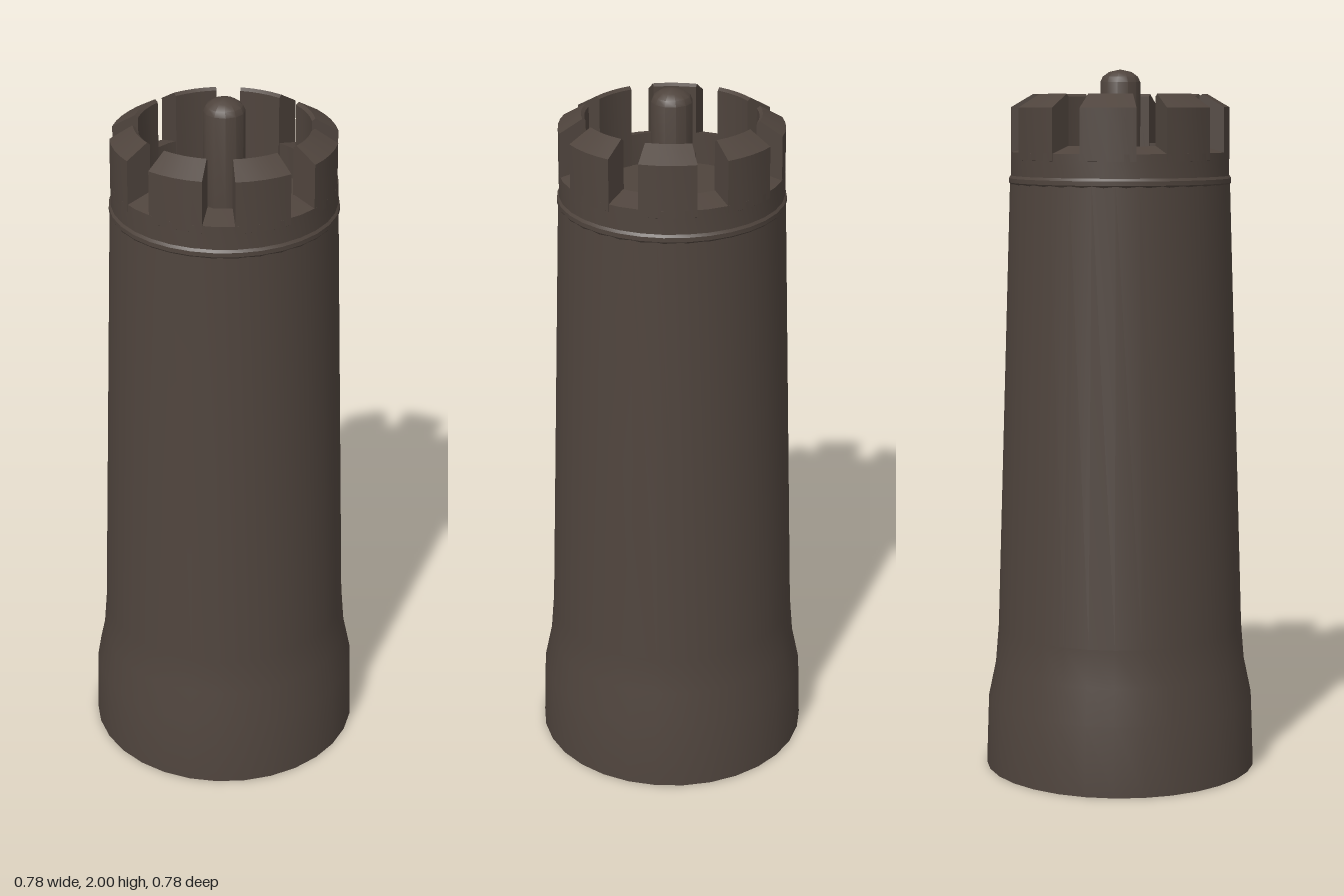
import * as THREE from 'three';
import { toCreasedNormals } from 'three/addons/utils/BufferGeometryUtils.js';

const DEG = Math.PI / 180;
const stone = new THREE.MeshStandardMaterial({ color: 0x4f443d, side: THREE.DoubleSide });
stone.name = 'dark stone';

const profile = (pts) => pts.map(([r, y]) => new THREE.Vector2(r, y));

function mesh(name, geometry) {
  const m = new THREE.Mesh(geometry, stone);
  m.name = name;
  return m;
}

// Turned part with smooth sides and sharp corners
function turned(name, pts, segments, start = 0, length = Math.PI * 2) {
  const g = new THREE.LatheGeometry(profile(pts), segments, start, length);
  return mesh(name, toCreasedNormals(g, 32 * DEG));
}

// Block of the parapet: a partial ring closed by a flat face at each end
function ringBlock(name, pts, centre, width) {
  const block = new THREE.Group();
  block.name = name;
  const start = centre - width / 2;
  block.add(turned(name + 'Body', [...pts, pts[0]], 4, start, width));
  for (const angle of [start, start + width]) {
    const end = new THREE.ShapeGeometry(new THREE.Shape(profile(pts)));
    end.rotateY(angle - Math.PI / 2);
    block.add(mesh(name + 'Side', end));
  }
  return block;
}

export function createModel() {
  const tower = new THREE.Group();
  tower.name = 'tower';

  // Hollow tapering shaft on a flared foot
  tower.add(turned('shaft', [
    [0.39, 0], [0.383, 0.2], [0.362, 0.3], [0.353, 0.41], [0.312, 1.69],
  ], 30));

  // Thin moulding under the parapet
  tower.add(turned('moulding', [
    [0.308, 1.675], [0.315, 1.685], [0.315, 1.697], [0.308, 1.707],
  ], 32));

  // Low parapet wall with a sloping sill
  tower.add(turned('parapet', [
    [0.31, 1.69], [0.309, 1.77], [0.24, 1.79], [0.24, 1.69],
  ], 32));

  // Roof floor inside the parapet
  const floor = new THREE.CircleGeometry(0.3, 32);
  floor.rotateX(-Math.PI / 2);
  floor.translate(0, 1.7, 0);
  tower.add(mesh('floor', floor));

  // Eight merlons with tops sloping outwards
  for (let i = 0; i < 8; i++) {
    tower.add(ringBlock('merlon', [
      [0.309, 1.75], [0.308, 1.895], [0.245, 1.932], [0.236, 1.925], [0.236, 1.7],
    ], (i * 45 + 2) * DEG, 29 * DEG));
  }

  // Round-topped post in the middle of the roof
  tower.add(turned('post', [
    [0.057, 1.7], [0.057, 1.965], [0.05, 1.98], [0.032, 1.993], [0, 2],
  ], 12));

  return tower;
}
